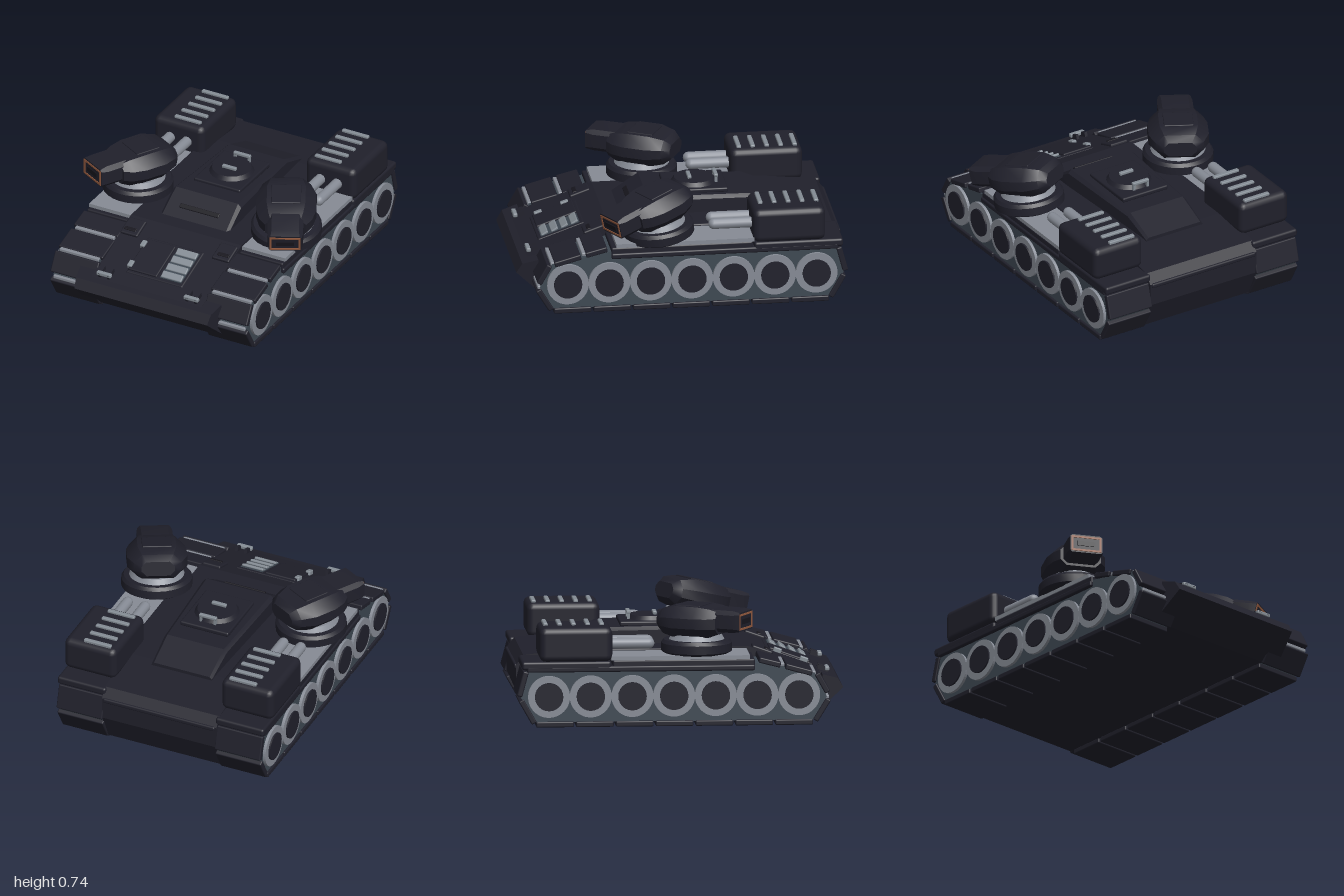
import * as THREE from 'three';
import { toCreasedNormals } from 'three/addons/utils/BufferGeometryUtils.js';
import { RoundedBoxGeometry } from 'three/addons/geometries/RoundedBoxGeometry.js';

const paint = (name, color) => Object.assign(new THREE.MeshStandardMaterial({ color }), { name });

export function createModel() {
  const armour = paint('dark armour', 0x20202b);
  const slotDark = paint('slot black', 0x17161d);
  const wheelGrey = paint('wheel grey', 0x868b95);
  const sideGrey = paint('blue grey', 0x3e4852);
  const steel = paint('steel', 0x838b93);
  const copper = paint('copper', 0x965c40);

  const model = new THREE.Group();
  model.name = 'doubleTurretTank';
  const body = new THREE.Group();
  body.name = 'body';
  body.position.x = -0.012;
  model.add(body);

  const add = (parent, name, geo, mat, x = 0, y = 0, z = 0) => {
    const mesh = new THREE.Mesh(geo, mat);
    mesh.name = name;
    mesh.position.set(x, y, z);
    parent.add(mesh);
    return mesh;
  };
  const box = (w, h, d) => new THREE.BoxGeometry(w, h, d);
  const rbox = (w, h, d, r = 0.01) => new RoundedBoxGeometry(w, h, d, 2, r);

  // Side profile of [z, y] points, extruded across x and centred
  const across = (points, width) => {
    const shape = new THREE.Shape(points.map(([z, y]) => new THREE.Vector2(z, y)));
    return new THREE.ExtrudeGeometry(shape, { depth: width, bevelEnabled: false })
      .translate(0, 0, -width / 2).rotateY(-Math.PI / 2);
  };

  // Chamfered cross-sections [z, halfWidth, yLow, yHigh, chamfer] joined along z
  const loft = (sections, crease = 0.3) => {
    const rings = sections.map(([z, w, lo, hi, c]) => [
      [w, lo + c], [w, hi - c], [w - c, hi], [c - w, hi],
      [-w, hi - c], [-w, lo + c], [c - w, lo], [w - c, lo],
    ].map(([x, y]) => [x, y, z]));
    const pos = [];
    for (let i = 0; i < rings.length - 1; i++) {
      for (let j = 0; j < 8; j++) {
        const k = (j + 1) % 8;
        const [a, b, c, d] = [rings[i][j], rings[i][k], rings[i + 1][k], rings[i + 1][j]];
        pos.push(...a, ...b, ...c, ...a, ...c, ...d);
      }
    }
    const first = rings[0], last = rings[rings.length - 1];
    for (let j = 1; j < 7; j++) {
      pos.push(...last[0], ...last[j], ...last[j + 1]);
      pos.push(...first[0], ...first[j + 1], ...first[j]);
    }
    const geo = new THREE.BufferGeometry();
    geo.setAttribute('position', new THREE.Float32BufferAttribute(pos, 3));
    return toCreasedNormals(geo, crease);
  };

  // Hull, deck shoulders and prow
  add(body, 'hull', across([
    [-0.9, 0.03], [0.82, 0.03], [0.99, 0.195], [0.96, 0.252], [0.43, 0.44],
    [-0.6, 0.44], [-0.93, 0.4], [-0.975, 0.34], [-0.975, 0.2],
  ], 0.76), armour);
  add(body, 'deckShoulders', rbox(0.85, 0.05, 0.6), armour, 0, 0.415, -0.15);
  const prowGeo = across([[0.87, 0.08], [1.0, 0.195], [0.965, 0.253], [0.87, 0.28]], 0.97);
  const p = prowGeo.attributes.position;
  for (let i = 0; i < p.count; i++) p.setX(i, p.getX(i) * (1 - 0.45 * (p.getZ(i) - 0.87)));
  prowGeo.computeVertexNormals();
  add(body, 'prow', prowGeo, armour);
  add(body, 'rearLip', rbox(0.74, 0.03, 0.1), armour, 0, 0.33, -0.935);

  // Central superstructure with roof hatch
  add(body, 'superstructure', loft([
    [-0.65, 0.2, 0.38, 0.455, 0.015], [-0.45, 0.207, 0.38, 0.535, 0.02],
    [0.17, 0.235, 0.38, 0.55, 0.022], [0.36, 0.235, 0.36, 0.42, 0.015],
  ]), armour);
  add(body, 'roofPlate', rbox(0.32, 0.03, 0.38), armour, 0, 0.55, -0.14);
  add(body, 'roofHatch', new THREE.CylinderGeometry(0.12, 0.14, 0.03, 24), armour, 0, 0.575, -0.14);
  for (const [z, w, y] of [[-0.27, 0.115, 0.607], [-0.11, 0.095, 0.6]]) {
    add(body, 'hatchHandle', rbox(w, 0.02, 0.025, 0.006), steel, 0, y, z);
    for (const s of [-1, 1]) add(body, 'handleFoot', box(0.014, 0.04, 0.018), steel, s * (w / 2 - 0.01), y - 0.022, z);
  }
  const slit = add(body, 'visionSlit', rbox(0.27, 0.009, 0.03, 0.004), slotDark, 0, 0.489, 0.263);
  slit.rotation.x = 0.6;

  // Fittings laid on the sloped front plate
  const glacis = new THREE.Group();
  glacis.name = 'frontPlateFittings';
  glacis.position.set(0, 0.341, 0.69);
  glacis.rotation.x = 0.34;
  body.add(glacis);
  add(glacis, 'hatchFrame', rbox(0.39, 0.024, 0.3), armour);
  add(glacis, 'driverDoor', rbox(0.2, 0.02, 0.26, 0.008), armour, -0.09, 0.012, 0);
  add(glacis, 'ventBed', box(0.145, 0.008, 0.25), sideGrey, 0.102, 0.013, 0);
  for (let i = 0; i < 4; i++) {
    const bar = add(glacis, 'ventBar', rbox(0.14, 0.016, 0.046, 0.006), steel, 0.102, 0.02, -0.095 + i * 0.064);
    bar.rotation.x = 0.25;
  }
  for (const z of [-0.08, 0.09]) add(glacis, 'doorHinge', rbox(0.032, 0.03, 0.05, 0.006), steel, -0.187, 0.018, z);

  // Running gear, fenders and rear boxes on each side
  const plates = [
    [0.475, 0.398, 0.605, 0.365], [0.635, 0.357, 0.795, 0.313],
    [0.825, 0.31, 0.89, 0.195], [0.895, 0.155, 0.815, 0.025],
    [-0.885, 0.025, -0.965, 0.165], [-0.975, 0.19, -0.935, 0.34],
  ];
  for (let i = 0; i < 7; i++) plates.push([0.8 - i * 0.241, 0.017, 0.8 - i * 0.241 - 0.228, 0.017]);
  const ring = new THREE.Shape().absarc(0, 0, 0.127, 0, Math.PI * 2);
  ring.holes.push(new THREE.Path().absarc(0, 0, 0.085, 0, Math.PI * 2));
  const ringGeo = new THREE.ExtrudeGeometry(ring, { depth: 0.04, bevelEnabled: false, curveSegments: 24 })
    .translate(0, 0, -0.02).rotateY(Math.PI / 2);
  const hubGeo = new THREE.CylinderGeometry(0.086, 0.086, 0.05, 24).rotateZ(Math.PI / 2);

  for (const s of [-1, 1]) {
    const side = new THREE.Group();
    side.name = s > 0 ? 'leftSide' : 'rightSide';
    body.add(side);
    add(side, 'trackCore', across([
      [-0.88, 0.03], [0.8, 0.03], [0.885, 0.17], [0.81, 0.315],
      [0.45, 0.38], [-0.93, 0.34], [-0.965, 0.18],
    ], 0.28), sideGrey, s * 0.525);
    // Grey links showing in the gaps between the front plates
    for (const [y, z] of [[0.374, 0.62], [0.322, 0.81], [0.175, 0.89]]) {
      add(side, 'trackLink', rbox(0.27, 0.022, 0.03, 0.006), wheelGrey, s * 0.525, y - 0.008, z - 0.006);
    }
    for (const [z0, y0, z1, y1] of plates) {
      const len = Math.hypot(z1 - z0, y1 - y0);
      const plate = add(side, 'trackPlate', rbox(0.305, 0.034, len, 0.008), armour, s * 0.525, (y0 + y1) / 2, (z0 + z1) / 2);
      plate.rotation.x = -Math.atan2(y1 - y0, z1 - z0);
    }
    for (let i = 0; i < 7; i++) {
      const z = 0.716 - i * 0.2522;
      add(side, 'wheelRim', ringGeo, wheelGrey, s * 0.663, 0.187, z);
      add(side, 'wheelHub', hubGeo, armour, s * 0.668, 0.187, z);
    }
    add(side, 'fender', rbox(0.33, 0.035, 1.38), armour, s * 0.52, 0.353, -0.24);
    add(side, 'fenderTop', rbox(0.3, 0.05, 0.86), armour, s * 0.525, 0.38, 0.02);
    add(side, 'turretDeck', box(0.31, 0.024, 0.84), wheelGrey, s * 0.52, 0.416, 0);
    add(side, 'rearShelf', rbox(0.32, 0.05, 0.54, 0.015), armour, s * 0.525, 0.375, -0.69);
    add(side, 'rearBox', rbox(0.345, 0.21, 0.44, 0.04), armour, s * 0.522, 0.502, -0.633);
    for (let i = 0; i < 5; i++) {
      add(side, 'coolingRib', rbox(0.18, 0.03, 0.028, 0.007), steel, s * 0.483, 0.606, -0.81 + i * 0.085);
    }
    for (const x of [0.46, 0.575]) {
      const pipe = new THREE.CapsuleGeometry(0.033, 0.23, 4, 14).rotateX(Math.PI / 2);
      add(side, 'exhaustPipe', pipe, wheelGrey, s * x, 0.495, -0.3);
    }
    // Front lamp housing and tow hook
    const lamp = add(side, 'lampHousing', rbox(0.12, 0.03, 0.13), armour, s * 0.315, 0.41, 0.515);
    lamp.rotation.x = 0.34;
    const lampSlot = add(side, 'lampSlot', rbox(0.08, 0.009, 0.025, 0.004), slotDark, s * 0.32, 0.416, 0.545);
    lampSlot.rotation.x = 0.34;
    add(side, 'towBar', rbox(0.1, 0.026, 0.028, 0.008), steel, s * 0.3, 0.293, 0.91);
    for (const d of [-0.03, 0.03]) {
      const foot = add(side, 'towFoot', box(0.018, 0.04, 0.07), armour, s * 0.3 + d, 0.288, 0.885);
      foot.rotation.x = 0.34;
    }
  }

  // Turret: tilted disc, collar, and a pitching head with a square muzzle
  const discGeo = toCreasedNormals(new THREE.LatheGeometry([
    [0, 0], [0.19, 0], [0.215, 0.015], [0.215, 0.065], [0.2, 0.085], [0, 0.085],
  ].map(([x, y]) => new THREE.Vector2(x, y)), 28), 0.6);
  const headGeo = loft([
    [-0.22, 0.1, 0.05, 0.14, 0.03], [-0.18, 0.145, 0.02, 0.172, 0.05],
    [-0.09, 0.182, 0, 0.192, 0.065], [0.05, 0.182, 0, 0.192, 0.065],
    [0.13, 0.16, 0.01, 0.182, 0.055], [0.18, 0.125, 0.03, 0.165, 0.035],
  ], 0.6);
  const muzzleGeo = loft([
    [0.12, 0.108, 0.045, 0.18, 0.025], [0.28, 0.108, 0.045, 0.178, 0.025],
    [0.325, 0.1, 0.054, 0.17, 0.012],
  ], 0.4);
  const rect = (P, w, h) => new P([[-w, -h], [w, -h], [w, h], [-w, h]].map(([x, y]) => new THREE.Vector2(x, y)));
  const trim = rect(THREE.Shape, 0.093, 0.049);
  trim.holes.push(rect(THREE.Path, 0.081, 0.037));
  const trimGeo = new THREE.ExtrudeGeometry(trim, { depth: 0.008, bevelEnabled: false });

  for (const [name, x, z, yaw, tilt, pitch] of [
    ['leftTurret', 0.53, 0.14, 0.48, 0.14, 0.1], ['rightTurret', -0.51, 0.108, -0.5, 0, 0],
  ]) {
    const turret = new THREE.Group();
    turret.name = name;
    turret.position.set(x, 0.425, z);
    turret.rotation.set(tilt, yaw, 0, 'YXZ');
    body.add(turret);
    add(turret, 'turretDisc', discGeo, armour);
    add(turret, 'turretCollar', new THREE.CylinderGeometry(0.15, 0.17, 0.036, 28), wheelGrey, 0, 0.098, 0);
    const head = new THREE.Group();
    head.name = 'turretHeadGroup';
    head.position.y = 0.1;
    head.rotation.x = pitch;
    turret.add(head);
    add(head, 'turretHead', headGeo, armour);
    add(head, 'topPanel', rbox(0.18, 0.012, 0.16, 0.005), armour, 0, 0.191, -0.02);
    add(head, 'muzzle', muzzleGeo, armour);
    add(head, 'muzzleTrim', trimGeo, copper, 0, 0.112, 0.321);
    add(head, 'muzzleFace', box(0.11, 0.03, 0.008), slotDark, 0, 0.112, 0.326);
  }
  return model;
}
